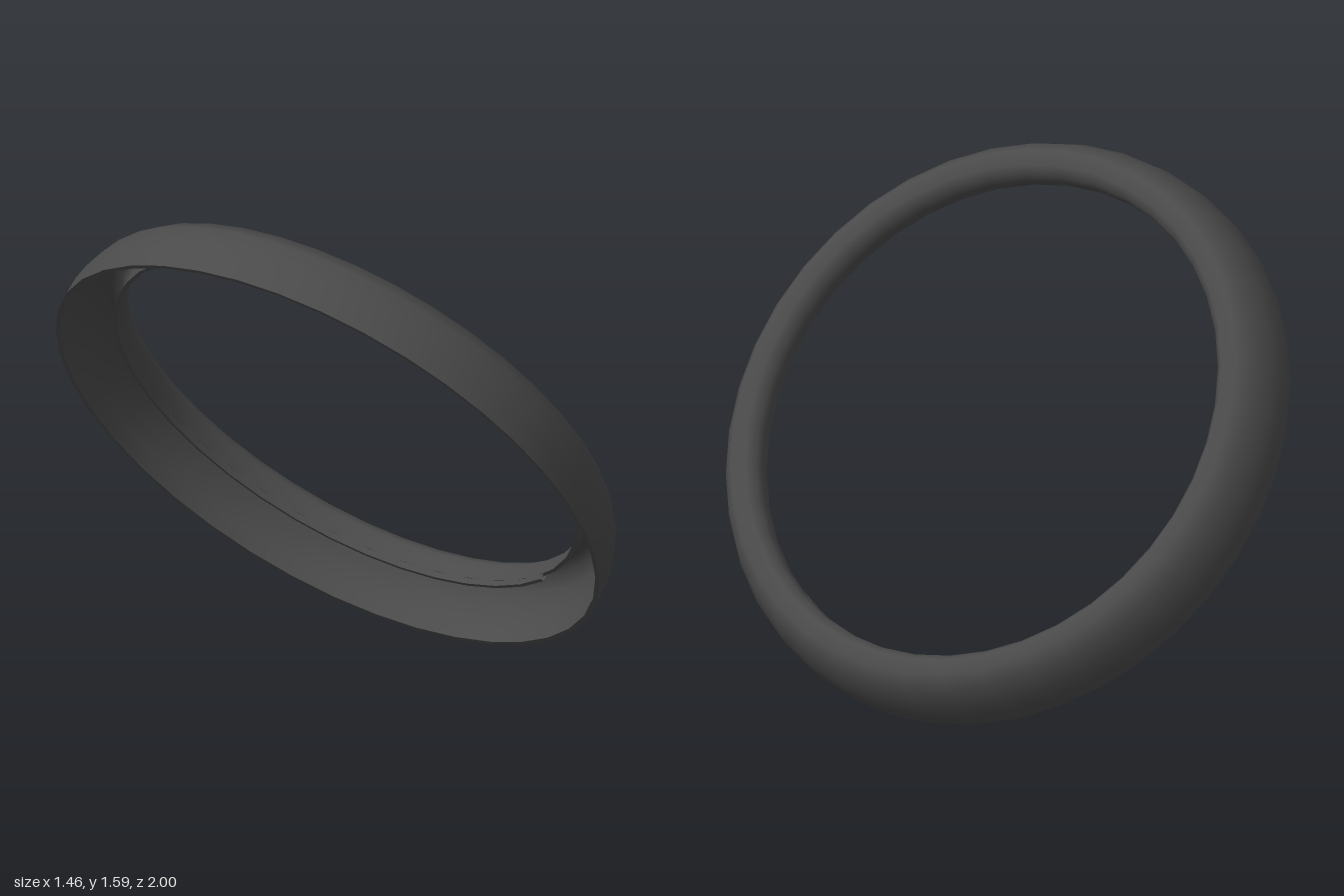
import * as THREE from 'three';
import { toCreasedNormals } from 'three/addons/utils/BufferGeometryUtils.js';

const rad = THREE.MathUtils.degToRad;

// Revolves a closed cross-section given as [radius, height along the ring axis]
function sweep(profile, segments, start = 0, length = Math.PI * 2) {
  const points = profile.map(([r, t]) => new THREE.Vector2(r, t));
  points.push(points[0].clone());
  return toCreasedNormals(new THREE.LatheGeometry(points, segments, start, length), rad(60));
}

export function createModel() {
  const model = new THREE.Group();
  model.name = 'tiltedRing';
  const material = new THREE.MeshStandardMaterial({ color: 0x4a4a4a, side: THREE.DoubleSide });

  // Everything is built upright, then leaned over about z
  const ring = new THREE.Group();
  ring.name = 'ring';
  ring.position.set(-0.0625, 0.7475, 0);
  ring.rotation.z = -rad(48.05);
  model.add(ring);

  // Hollow band: bulging outer wall, flat top rim and a lip turned down inside
  const band = new THREE.Mesh(sweep([
    [0.985, 0], [1.0, 0], [1.0, 0.06], [0.99, 0.12], [0.962, 0.19], [0.92, 0.238],
    [0.868, 0.236], [0.842, 0.208], [0.836, 0.175], [0.838, 0.14],
    [0.85, 0.14], [0.85, 0.175], [0.856, 0.203], [0.875, 0.222],
    [0.914, 0.224], [0.95, 0.182], [0.976, 0.117], [0.986, 0.06],
  ], 40), material);
  band.name = 'band';
  ring.add(band);

  // Shallow skirt that deepens the lip along part of the ring
  const skirt = new THREE.Mesh(sweep([
    [0.838, 0.118], [0.85, 0.118], [0.85, 0.15], [0.838, 0.15],
  ], 18, rad(59), rad(162)), material);
  skirt.name = 'lipSkirt';
  ring.add(skirt);

  return model;
}
